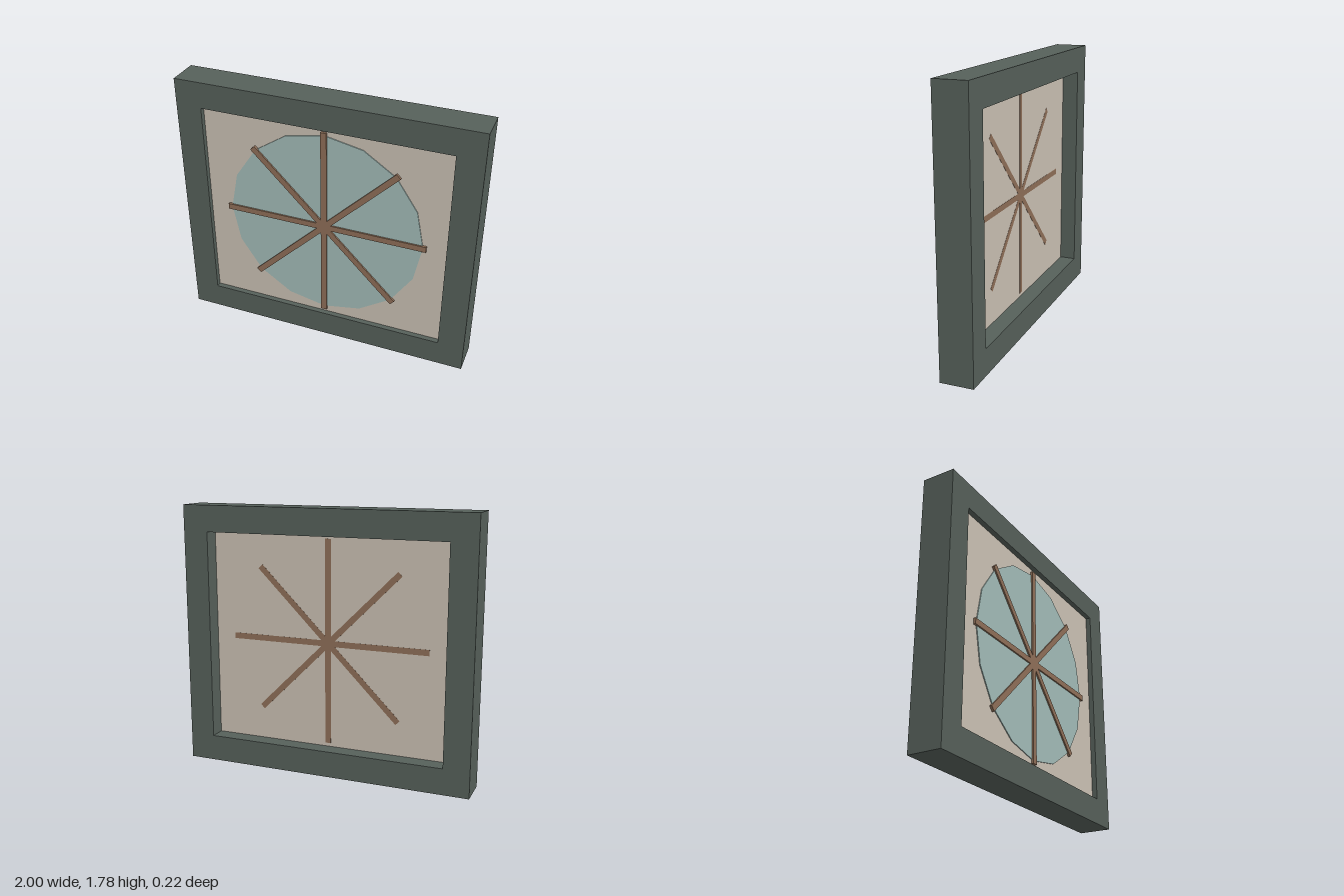
import * as THREE from 'three';

const CENTRE_Y = 0.89;

function material(name, color) {
  const m = new THREE.MeshStandardMaterial({ color });
  m.name = name;
  return m;
}

// Adds a mesh whose depth runs from z = back to z = front
function addPart(group, name, geometry, mat, back, front, angle = 0) {
  const mesh = new THREE.Mesh(geometry, mat);
  mesh.name = name;
  mesh.position.set(0, CENTRE_Y, (back + front) / 2);
  mesh.rotation.z = angle;
  group.add(mesh);
}

export function createModel() {
  const group = new THREE.Group();
  group.name = 'framedWheelWindow';

  const frameGreen = material('dark grey green', 0x56605a);
  const plaster = material('pale beige', 0xcbc1b4);
  const glass = material('pale teal', 0xa3bcb8);
  const wood = material('brown wood', 0x8f6f58);

  // Square frame with a rectangular opening
  const outline = new THREE.Shape([
    new THREE.Vector2(-1, -0.89), new THREE.Vector2(1, -0.89),
    new THREE.Vector2(1, 0.89), new THREE.Vector2(-1, 0.89),
  ]);
  const w = 0.825, h = 0.713;
  outline.holes.push(new THREE.Path([
    new THREE.Vector2(-w, -h), new THREE.Vector2(-w, h),
    new THREE.Vector2(w, h), new THREE.Vector2(w, -h),
  ]));
  const frame = new THREE.ExtrudeGeometry(outline, { depth: 0.22, bevelEnabled: false });
  frame.translate(0, 0, -0.11);
  addPart(group, 'frame', frame, frameGreen, -0.11, 0.11);

  // Panel set back inside the opening
  addPart(group, 'panel', new THREE.BoxGeometry(2 * w, 2 * h, 0.075), plaster, 0, 0.075);

  // Sixteen-sided pane on the front of the panel
  const pane = new THREE.CylinderGeometry(0.667, 0.667, 0.06, 16).toNonIndexed();
  pane.rotateX(Math.PI / 2);
  pane.computeVertexNormals();
  addPart(group, 'roundPane', pane, glass, 0.021, 0.081);

  // Four crossing bars, showing on both faces of the panel
  const bar = new THREE.BoxGeometry(1.38, 0.04, 0.092);
  for (let i = 0; i < 4; i++) {
    addPart(group, `bar${i + 1}`, bar, wood, -0.001, 0.091, (i * Math.PI) / 4);
  }

  return group;
}
